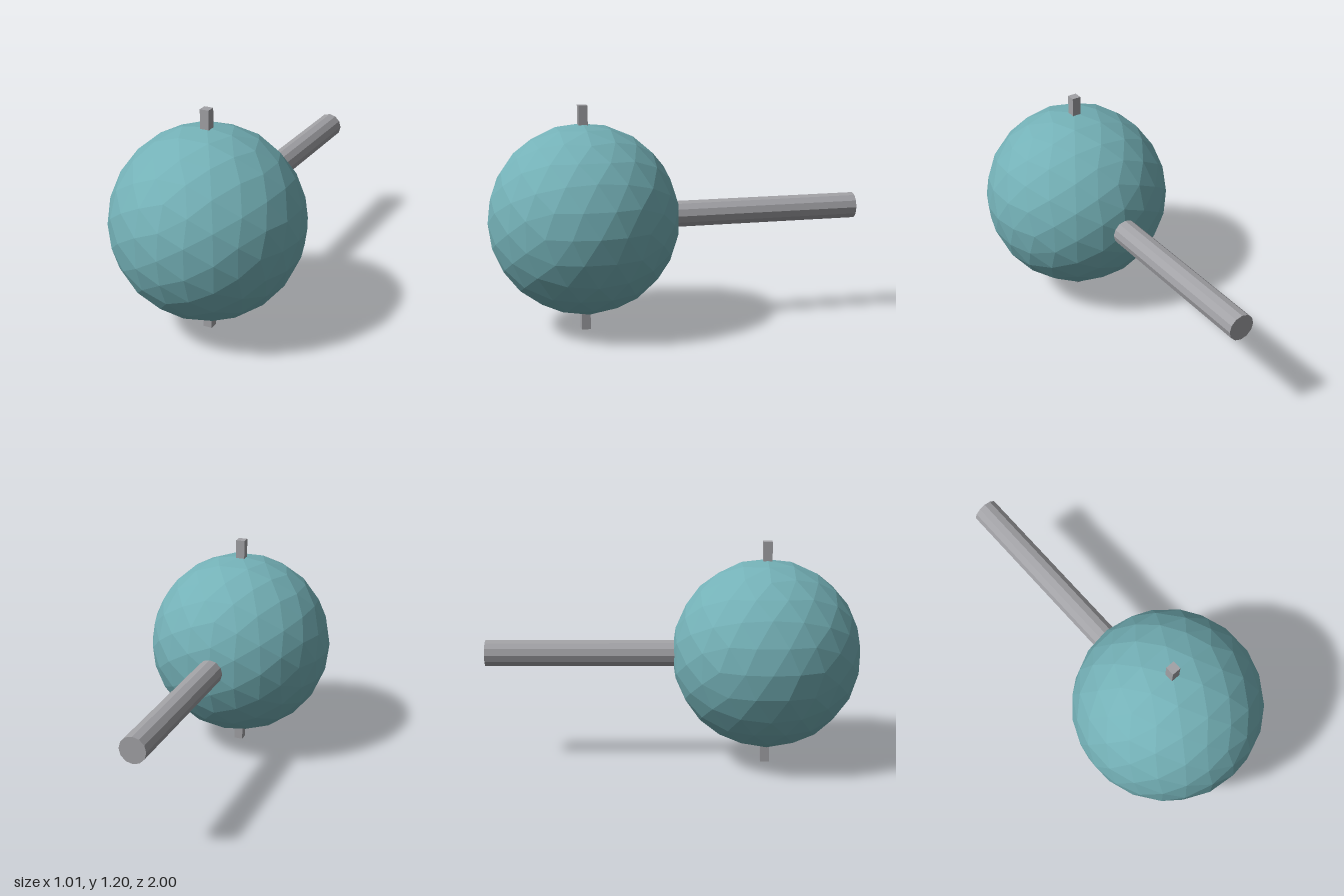
import * as THREE from 'three';

const CENTER_Y = 0.6, CENTER_Z = 0.497, RADIUS = 0.503;

// Icosphere with 320 near-even facets: halve the edges twice, projecting onto the sphere each time
function icosphere(radius) {
  const first = new THREE.IcosahedronGeometry(1, 1);
  const corners = Array.from(first.attributes.position.array);
  const order = Array.from({ length: corners.length / 3 }, (_, i) => i);
  return new THREE.PolyhedronGeometry(corners, order, radius, 1);
}

export function createModel() {
  const teal = new THREE.MeshStandardMaterial({ color: 0x74b1b7, flatShading: true });
  teal.name = 'teal';
  const grey = new THREE.MeshStandardMaterial({ color: 0xa2a2a6, flatShading: true });
  grey.name = 'grey';

  const model = new THREE.Group();
  const add = (name, geometry, material, y, z) => {
    const mesh = new THREE.Mesh(geometry, material);
    mesh.name = name;
    mesh.position.set(0, y, z);
    model.add(mesh);
    return mesh;
  };

  // Faceted ball
  add('ball', icosphere(RADIUS), teal, CENTER_Y, CENTER_Z);

  // Square pin through the ball, showing at top and bottom
  add('pin', new THREE.BoxGeometry(0.048, 1.2, 0.048), grey, CENTER_Y, CENTER_Z);

  // Twelve-sided rod running back from the ball
  const front = 0.1, back = -1;
  const rod = new THREE.CylinderGeometry(0.071, 0.071, front - back, 12);
  rod.rotateX(Math.PI / 2);
  add('rod', rod, grey, CENTER_Y, (front + back) / 2);

  return model;
}
